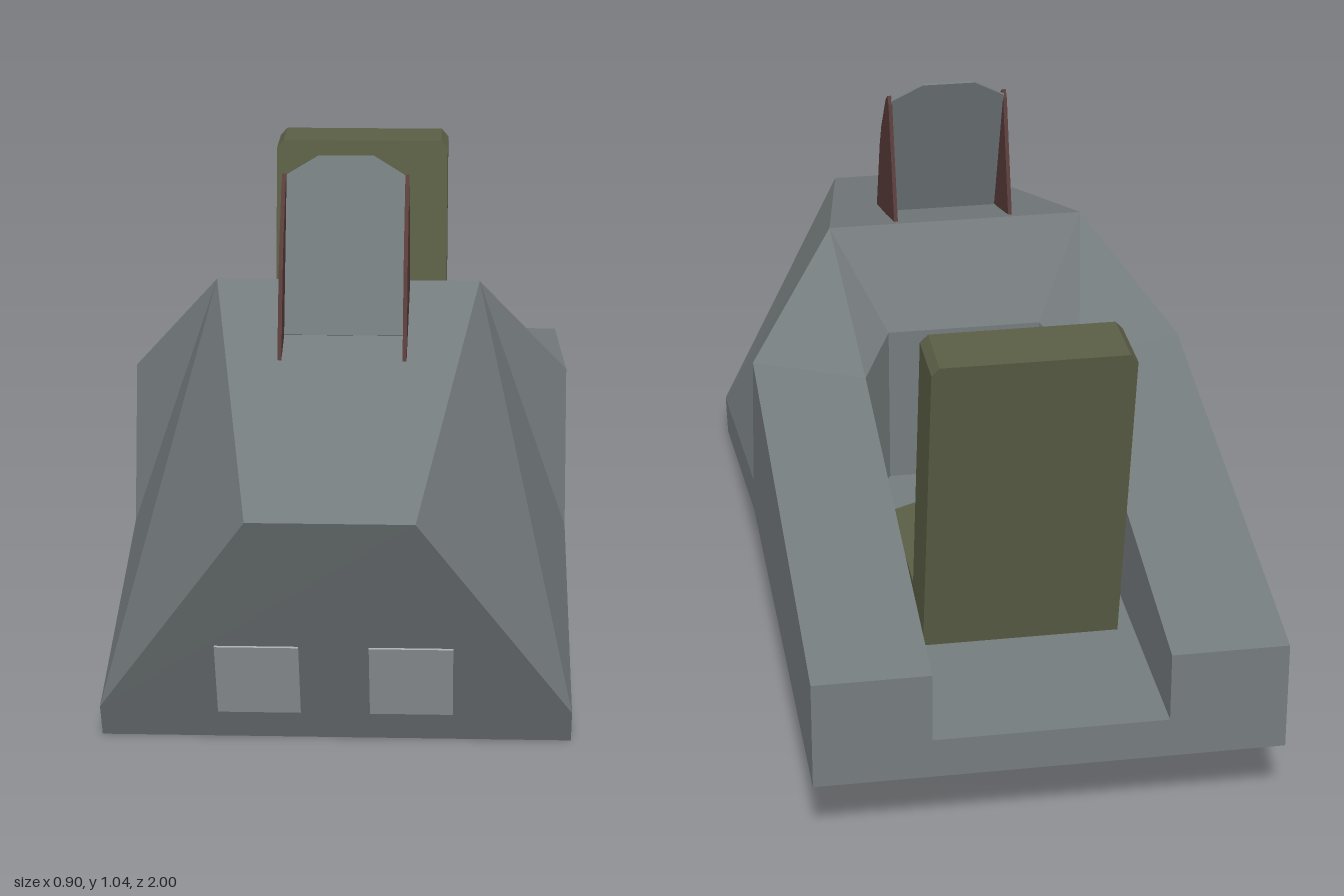
import * as THREE from 'three';

const material = (name, color, side = THREE.FrontSide) =>
  Object.assign(new THREE.MeshStandardMaterial({ color, side, flatShading: true }), { name });

// Flat-faced solid from named corners on the +x side; "-X" is corner X mirrored in x.
function facetGeometry(points, centreFaces, sideFaces) {
  const flip = (n) => (n[0] === '-' ? n.slice(1) : '-' + n);
  const at = (n) => {
    const [x, y, z] = points[n.replace('-', '')];
    return [n[0] === '-' ? -x : x, y, z];
  };
  const faces = [...centreFaces, ...sideFaces].map((f) => f.split(' '));
  for (const f of sideFaces) faces.push(f.split(' ').map(flip).reverse());
  // keep the same diagonal on mirrored faces
  const first = centreFaces.length + sideFaces.length;
  for (let i = first; i < faces.length; i++) faces[i].unshift(faces[i].pop());
  const pos = [];
  for (const f of faces)
    for (let i = 1; i < f.length - 1; i++) pos.push(...at(f[0]), ...at(f[i]), ...at(f[i + 1]));
  const g = new THREE.BufferGeometry();
  g.setAttribute('position', new THREE.Float32BufferAttribute(pos, 3));
  g.computeVertexNormals();
  return g;
}

const outline = (pts) => new THREE.Shape(pts.map(([x, y]) => new THREE.Vector2(x, y)));
const extrude = (pts, depth) =>
  new THREE.ExtrudeGeometry(outline(pts), { depth, bevelEnabled: false });

export function createModel() {
  const group = new THREE.Group();
  const hullGrey = material('hull grey', 0x757c7e);
  const lightGrey = material('light grey', 0xa2a9ab);
  const olive = material('seat olive', 0x5b5e45);
  const maroon = material('fin maroon', 0x583c3a);
  const add = (name, geometry, mat) => {
    const mesh = new THREE.Mesh(geometry, mat);
    mesh.name = name;
    group.add(mesh);
    return mesh;
  };

  // Hull: wedge nose, raised ridge, and two rear arms around an open cockpit
  const hull = {
    N: [0.155, 0.515, 1], R: [0.267, 0.762, 0.155], // nose top, ridge
    C: [0.45, 0.07, 0.773], F: [0.45, 0, 0.737], // nose lower corners
    B: [0.45, 0.145, 0.08], S: [0.45, 0.22, 0.08], A: [0.45, 0.537, 0], // mid side
    T: [0.45, 0.365, -1], U: [0.45, 0.145, -1], // arm ends
    t: [0.225, 0.365, -1], f: [0.225, 0.225, -1], u: [0.225, 0.145, -1],
    w: [0.225, 0.523, -0.08], v: [0.225, 0.225, -0.08], // cockpit walls
    o: [0.16, 0.565, 0.04], p: [0.16, 0.225, 0.04],
  };
  add('hull', facetGeometry(hull,
    ['N -N -C -F F C', 'R -R -N N', 'R o -o -R', 'o p -p -o', 'f -f -v -p p v',
      'f u -u -f', '-B B F -F', '-U U B -B'],
    ['F B S C', 'C S R N', 'S A R', 'B U T A S', 'A T t w', 'R A w o',
      't f v w', 'w v p o', 'T U u t']), hullGrey);

  // Control console with its sloped panel
  add('console', facetGeometry({
    a: [0.04, 0.335, -0.115], b: [0.07, 0.55, 0.04],
    c: [0.04, 0.225, -0.08], d: [0.07, 0.225, 0.04],
  }, ['b a -a -b', 'a c -c -a'], ['a b d c']), hullGrey);
  add('dashboard', new THREE.BoxGeometry(0.14, 0.025, 0.07), hullGrey).position.set(0, 0.537, 0.015);

  // Light plates on the nose
  const tilt = Math.atan2(0.227, 0.445);
  for (const s of [1, -1]) {
    const plate = add(s > 0 ? 'leftNosePlate' : 'rightNosePlate',
      new THREE.BoxGeometry(0.158, 0.18, 0.008), lightGrey);
    plate.position.set(s * 0.145, 0.145, 0.811);
    plate.rotation.x = tilt;
  }

  // Windshield panel with clipped top corners
  const shield = add('windshield', extrude([[-0.12, 0], [0.12, 0], [0.12, 0.318],
    [0.055, 0.358], [-0.055, 0.358], [-0.12, 0.318]], 0.006), hullGrey);
  shield.position.set(0, 0.7, 0.365);
  shield.rotation.x = -Math.atan2(0.125, 0.335);

  // Curved fins on both sides of the windshield, drawn in (-z, y)
  for (const s of [1, -1]) {
    const fin = add(s > 0 ? 'leftFin' : 'rightFin', extrude([[-0.465, 0.675], [-0.185, 0.75],
      [-0.255, 0.99], [-0.27, 1.005], [-0.3, 0.985], [-0.375, 0.895], [-0.405, 0.84]], 0.008), maroon);
    fin.rotation.y = Math.PI / 2;
    fin.position.x = s * 0.122 - 0.004;
  }

  // Seat cushion, notched at the front, drawn in (x, -z)
  const cushion = add('seatCushion', extrude([[-0.19, 0.21], [-0.105, 0.167], [-0.1, 0.24],
    [0.1, 0.24], [0.105, 0.167], [0.19, 0.21], [0.19, 0.6], [-0.19, 0.6]], 0.055), olive);
  cushion.rotation.x = -Math.PI / 2;
  cushion.position.y = 0.225;

  // Backrest: chamfered slab sheared backwards
  const back = extrude([[-0.193, 0.225], [0.193, 0.225], [0.193, 0.873],
    [0.178, 0.89], [-0.178, 0.89], [-0.193, 0.873]], 0.145);
  const p = back.attributes.position;
  for (let i = 0; i < p.count; i++) p.setZ(i, p.getZ(i) - 0.795 + (0.89 - p.getY(i)) * 0.2);
  back.computeVertexNormals();
  add('seatBackrest', back, olive);

  return group;
}
